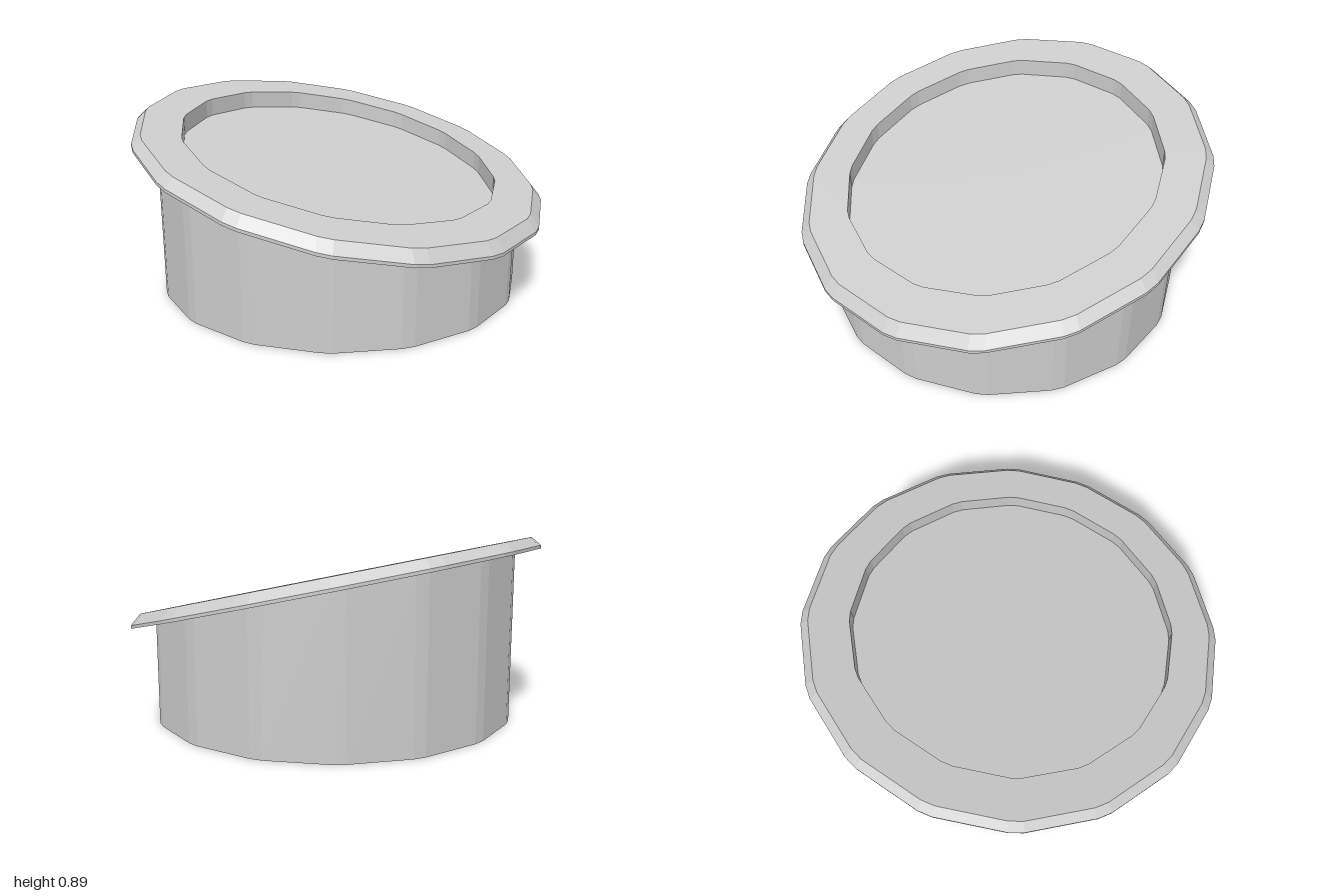
import * as THREE from 'three';

const SIDES = 16;
const TILT = 0.234;    // drop of the slanted top towards the front
const CHAMFER = 0.035; // half length of each trimmed corner

// Outline of a 16-sided polygon with unit apothem and trimmed corners
function makeOutline() {
  const half = Math.tan(Math.PI / SIDES) - CHAMFER;
  const points = [];
  for (let i = 0; i < SIDES; i++) {
    const a = (i / SIDES) * Math.PI * 2;
    for (const s of [-half, half]) {
      points.push([Math.sin(a) + s * Math.cos(a), Math.cos(a) - s * Math.sin(a)]);
    }
  }
  return points;
}
const OUTLINE = makeOutline();

// Faceted skin through rings given as [apothem, height, tilt]
function skin(rings) {
  const pos = [];
  const at = ([r, h, tilt], i) => {
    const [x, z] = OUTLINE[i % OUTLINE.length];
    return [x * r, h - tilt * z * r, z * r];
  };
  for (let k = 0; k < rings.length - 1; k++) {
    const [a, b] = [rings[k], rings[k + 1]];
    for (let i = 0; i < OUTLINE.length; i++) {
      const a0 = at(a, i), a1 = at(a, i + 1), b0 = at(b, i), b1 = at(b, i + 1);
      if (b[0] === 0) {
        pos.push(...a0, ...a1, ...b0);
      } else {
        pos.push(...a0, ...a1, ...b1, ...a0, ...b1, ...b0);
      }
    }
  }
  const geometry = new THREE.BufferGeometry();
  geometry.setAttribute('position', new THREE.Float32BufferAttribute(pos, 3));
  geometry.computeVertexNormals();
  return geometry;
}

export function createModel() {
  const model = new THREE.Group();
  model.name = 'slantedDrum';
  const grey = new THREE.MeshStandardMaterial({ color: 0xcccccc, side: THREE.DoubleSide });
  grey.name = 'light grey';

  const add = (name, rings) => {
    const mesh = new THREE.Mesh(skin(rings), grey);
    mesh.name = name;
    model.add(mesh);
  };

  // Open-bottomed wall, cut on a slant at the top
  add('wall', [[0.885, 0, 0], [0.885, 0.608, TILT]]);

  // Overhanging lip: underside, thin rim, bevel and flat top
  add('lip', [
    [0.77, 0.608, TILT],
    [1, 0.608, TILT],
    [1, 0.623, TILT],
    [0.957, 0.669, TILT],
    [0.77, 0.669, TILT],
  ]);

  // Recess wall and its slanted floor
  add('recessWall', [[0.77, 0.669, TILT], [0.77, 0.582, TILT]]);
  add('recessFloor', [[0.77, 0.582, TILT], [0, 0.582, TILT]]);

  return model;
}
